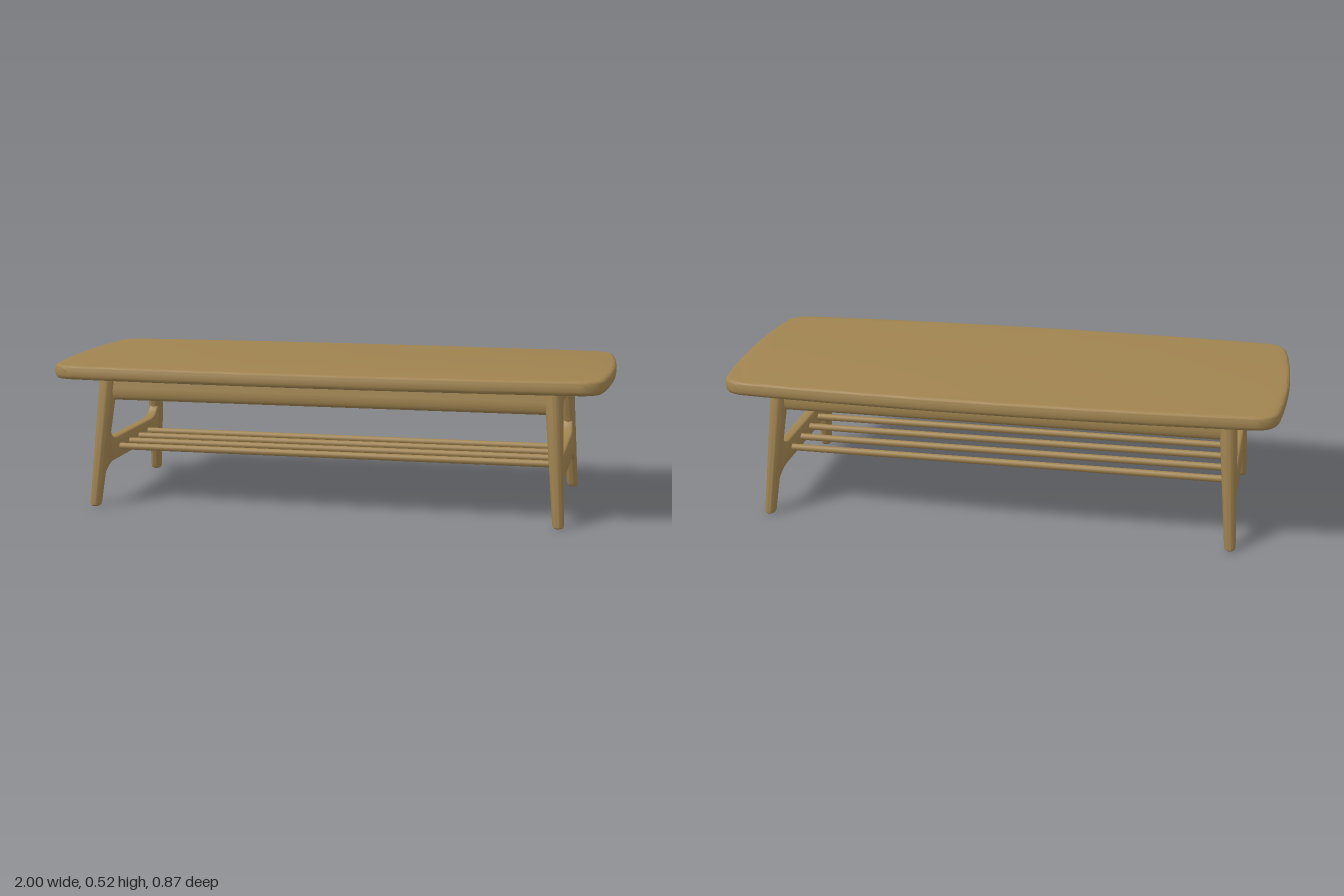
import * as THREE from 'three';
import { toCreasedNormals } from 'three/addons/utils/BufferGeometryUtils.js';

const TOP = 0.517, UNDER = 0.467;
const lerp = THREE.MathUtils.lerp;
// centre line of a splayed leg at height y
const legX = (y) => lerp(0.836, 0.803, y / UNDER);
const legZ = (y) => lerp(0.346, 0.261, y / UNDER);

// moves every vertex by a rule, then renews the normals
function reshape(geometry, rule) {
  const p = geometry.attributes.position, v = new THREE.Vector3();
  for (let i = 0; i < p.count; i++) {
    rule(v.fromBufferAttribute(p, i));
    p.setXYZ(i, v.x, v.y, v.z);
  }
  return toCreasedNormals(geometry, 0.6);
}

function tabletop() {
  // bowed edges and rounded corners
  const s = new THREE.Shape();
  s.moveTo(0, 0.435);
  s.quadraticCurveTo(-0.5, 0.433, -0.89, 0.406);
  s.bezierCurveTo(-0.945, 0.402, -0.975, 0.375, -0.98, 0.32);
  s.quadraticCurveTo(-1, 0.16, -1, 0);
  s.quadraticCurveTo(-1, -0.16, -0.98, -0.32);
  s.bezierCurveTo(-0.975, -0.375, -0.945, -0.402, -0.89, -0.406);
  s.quadraticCurveTo(-0.5, -0.433, 0, -0.435);
  s.quadraticCurveTo(0.5, -0.433, 0.89, -0.406);
  s.bezierCurveTo(0.945, -0.402, 0.975, -0.375, 0.98, -0.32);
  s.quadraticCurveTo(1, -0.16, 1, 0);
  s.quadraticCurveTo(1, 0.16, 0.98, 0.32);
  s.bezierCurveTo(0.975, 0.375, 0.945, 0.402, 0.89, 0.406);
  s.quadraticCurveTo(0.5, 0.433, 0, 0.435);
  const b = 0.015;
  const g = new THREE.ExtrudeGeometry(s, {
    depth: TOP - UNDER - 2 * b, bevelThickness: b, bevelSize: b, bevelOffset: -b,
    bevelSegments: 4, curveSegments: 10,
  });
  g.rotateX(-Math.PI / 2).translate(0, UNDER + b, 0);
  return toCreasedNormals(g, 0.6);
}

// tapered oval leg with a softened foot
function leg(sx, sz) {
  const profile = [[0, 0], [0.72, 0], [0.92, 0.004], [1, 0.013], [1, 0.475]];
  const g = new THREE.LatheGeometry(profile.map(([r, y]) => new THREE.Vector2(r, y)), 28);
  return reshape(g, (v) => {
    const t = v.y / UNDER;
    v.x = sx * legX(v.y) + v.x * lerp(0.02, 0.032, t);
    v.z = sz * legZ(v.y) + v.z * lerp(0.024, 0.039, t);
  });
}

// stretcher with curved shoulders that flow into the legs
function stretcher(sx) {
  const s = new THREE.Shape();
  s.moveTo(-0.2, 0.142);
  s.lineTo(0.225, 0.142);
  s.quadraticCurveTo(0.265, 0.14, 0.298, 0.115);
  s.lineTo(0.322, 0.088);
  s.lineTo(0.296, 0.285);
  s.lineTo(0.263, 0.26);
  s.quadraticCurveTo(0.247, 0.233, 0.2, 0.228);
  s.lineTo(-0.2, 0.228);
  s.quadraticCurveTo(-0.247, 0.233, -0.263, 0.26);
  s.lineTo(-0.296, 0.285);
  s.lineTo(-0.322, 0.088);
  s.lineTo(-0.298, 0.115);
  s.quadraticCurveTo(-0.265, 0.14, -0.225, 0.142);
  const b = 0.006, thick = 0.036;
  const g = new THREE.ExtrudeGeometry(s, {
    depth: thick - 2 * b, bevelThickness: b, bevelSize: b, bevelOffset: -b,
    bevelSegments: 3, curveSegments: 10,
  });
  g.translate(0, 0, b - thick / 2).rotateY(-Math.PI / 2);
  return reshape(g, (v) => { v.x += sx * legX(v.y); });
}

// rail under the top, with a rounded lower edge, running along z
function rail(length) {
  const s = new THREE.Shape();
  s.moveTo(-0.021, 0.47);
  s.lineTo(-0.021, 0.425);
  s.absellipse(0, 0.425, 0.021, 0.045, Math.PI, 2 * Math.PI, false);
  s.lineTo(0.021, 0.47);
  const g = new THREE.ExtrudeGeometry(s, { depth: length, bevelEnabled: false, curveSegments: 16 });
  return g.translate(0, 0, -length / 2);
}

export function createModel() {
  const group = new THREE.Group();
  const wood = new THREE.MeshStandardMaterial({ color: 0xa08350 });
  wood.name = 'wood';
  const add = (name, geometry) => {
    const mesh = new THREE.Mesh(geometry, wood);
    mesh.name = name;
    group.add(mesh);
    return mesh;
  };

  add('tabletop', tabletop());

  for (const side of [1, -1]) {
    const label = side > 0 ? 'left' : 'right';
    add(label + 'FrontLeg', leg(side, 1));
    add(label + 'BackLeg', leg(side, -1));
    add(label + 'Stretcher', stretcher(side));
    // rails lean with the legs
    add(label + 'EndRail', reshape(rail(0.53), (v) => { v.x += side * legX(v.y); }));
    add(side > 0 ? 'frontRail' : 'backRail',
      reshape(rail(1.6).rotateY(Math.PI / 2), (v) => { v.z += side * legZ(v.y); }));
  }

  // shelf rods between the stretchers
  for (let i = 0; i < 4; i++) {
    const rod = add('shelfRod', new THREE.CylinderGeometry(0.0125, 0.0125, 1.63, 16));
    rod.rotation.z = Math.PI / 2;
    rod.position.set(0, 0.185, (i - 1.5) * 0.107);
  }
  return group;
}
